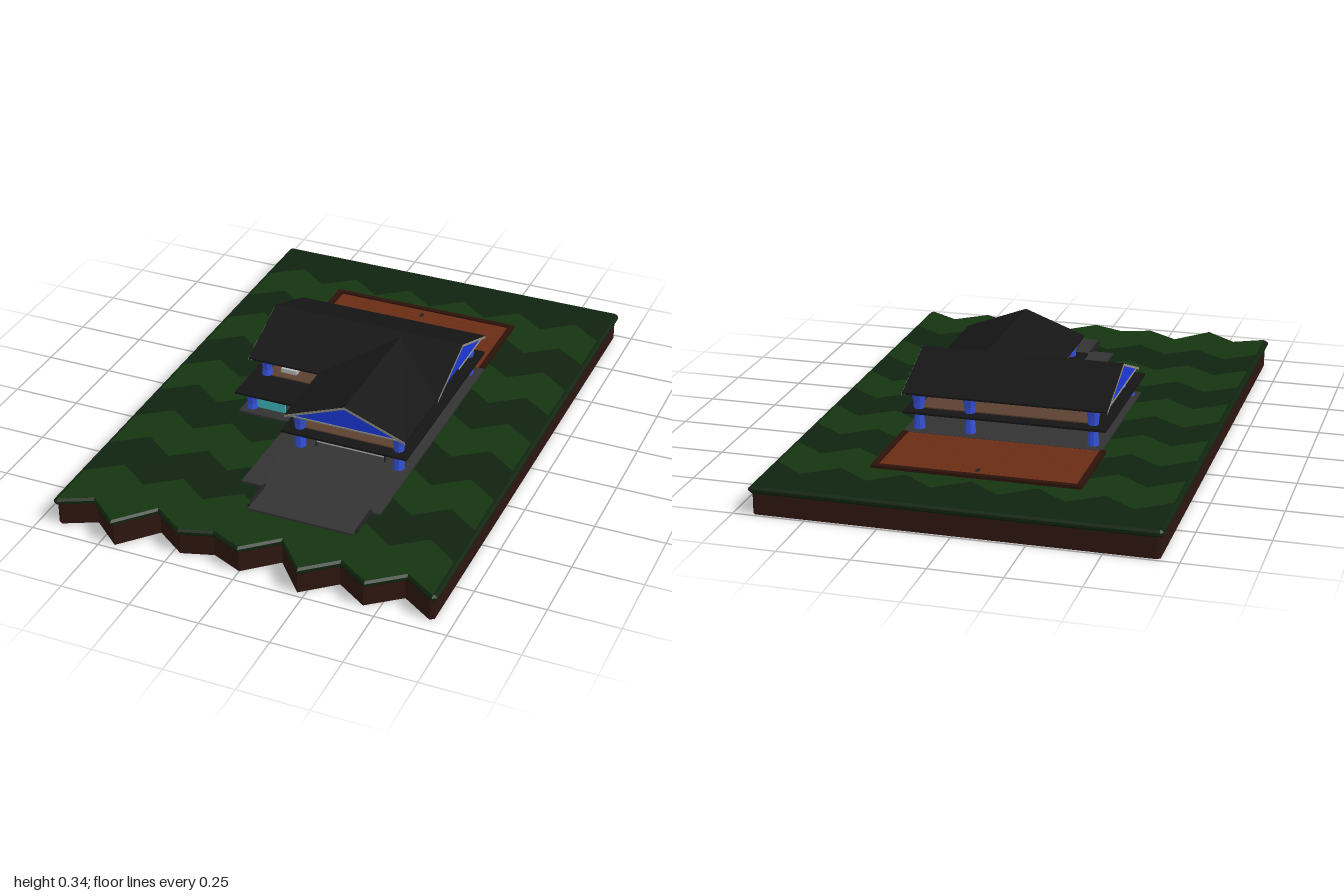
import * as THREE from 'three';

const mat = (color, side = THREE.FrontSide) =>
  new THREE.MeshStandardMaterial({ color, side, flatShading: true });
const M = {
  dirt: mat(0x2e160f), grassDark: mat(0x10240f), grassLight: mat(0x15350f),
  concrete: mat(0x333333), roof: mat(0x151515, THREE.DoubleSide), blue: mat(0x1c38d8, THREE.DoubleSide),
  column: mat(0x3450d8), trim: mat(0x8c8c80), floor: mat(0x5b4030), brick: mat(0x6a2c15),
  brickEdge: mat(0x2c130b), teal: mat(0x3fb8c0), grey: mat(0x999999), pale: mat(0xb8b8b8),
  red: mat(0xd02418), rug: mat(0x1c3f90), dark: mat(0x222222),
};

export function createModel() {
  const model = new THREE.Group();

  const add = (name, geo, material, x = 0, y = 0, z = 0, parent = model) => {
    const m = new THREE.Mesh(geo, material);
    m.name = name;
    m.position.set(x, y, z);
    parent.add(m);
    return m;
  };
  // Box given by its limits on each axis
  const box = (name, material, x0, x1, y0, y1, z0, z1, parent = model) =>
    add(name, new THREE.BoxGeometry(x1 - x0, y1 - y0, z1 - z0), material,
      (x0 + x1) / 2, (y0 + y1) / 2, (z0 + z1) / 2, parent);
  // Plan outline of [x, z] points
  const plan = (pts) => new THREE.Shape(pts.map(([x, z]) => new THREE.Vector2(x, -z)));
  // Plan outline raised between two heights
  const slab = (name, material, pts, y0, y1, bevel = 0) => {
    const geo = new THREE.ExtrudeGeometry(plan(pts), {
      depth: y1 - y0 - 2 * bevel, bevelEnabled: bevel > 0, bevelThickness: bevel,
      bevelSize: bevel, bevelOffset: -bevel, bevelSegments: 1,
    });
    geo.rotateX(-Math.PI / 2);
    return add(name, geo, material, 0, y0 + bevel, 0);
  };

  // Ground with a jagged front edge
  const frontZ = [0.95, 0.895, 0.99, 0.865, 0.945, 0.91, 0.96, 0.86, 0.99, 0.895, 0.97, 0.88, 0.955];
  const edge = frontZ.map((z, i) => [-0.68 + i * 0.1133, z]);
  const outline = [[-0.695, -0.99], [-0.685, -1], [0.685, -1], [0.695, -0.99],
    [0.695, 0.945], ...edge.slice().reverse(), [-0.695, 0.94]];
  slab('dirtBase', M.dirt, outline.map(([x, z]) => [x * 0.985, z * 0.99]), 0, 0.08);
  slab('grass', M.grassDark, outline, 0.075, 0.1, 0.008);

  // Light zigzag stripes on the lawn
  const zigzag = (z) => edge.map(([x], i) => [x, z + (i % 2 ? 0 : 0.085)]);
  for (let k = 0; k < 5; k++) {
    const z = -0.85 + k * 0.38;
    const near = k < 4 ? zigzag(z + 0.19) : edge.map(([x, ez]) => [x, ez - 0.008]);
    const geo = new THREE.ShapeGeometry(plan([...zigzag(z), ...near.reverse()]));
    geo.rotateX(-Math.PI / 2);
    add('grassStripe', geo, M.grassLight, 0, 0.101, 0);
  }

  // Foundation and driveway
  slab('foundation', M.concrete, [[-0.35, -0.4], [0.36, -0.4], [0.36, 0.61], [0.32, 0.61],
    [0.32, 0.75], [-0.06, 0.75], [-0.06, 0.61], [-0.15, 0.61], [-0.15, 0.21], [-0.35, 0.21]], 0.095, 0.108);
  for (const x of [-0.065, 0.325]) box('driveKerb', M.dark, x - 0.005, x + 0.005, 0.1, 0.11, 0.6, 0.73);

  // Brick patio
  box('patioBed', M.brickEdge, -0.345, 0.345, 0.095, 0.105, -0.72, -0.4);
  for (const x of [-0.357, 0.35]) box('patioBorder', M.brickEdge, x - 0.01, x + 0.01, 0.095, 0.112, -0.735, -0.4);
  box('patioBorder', M.brickEdge, -0.367, 0.36, 0.095, 0.112, -0.738, -0.718);
  const patio = new THREE.Group();
  patio.name = 'patioBricks';
  model.add(patio);
  const bw = 0.0565, bd = 0.0315;
  for (let r = 0; r < 10; r++) for (let c = 0; c < 12; c++) {
    const x = -0.343 + c * 0.057, z = -0.717 + r * 0.032;
    box('brick', M.brick, x, x + bw, 0.1, 0.107, z, z + bd, patio);
  }
  box('patioDrain', M.dark, -0.003, 0.009, 0.1, 0.11, -0.69, -0.67);

  // Skirt roof between the storeys, with the upper floor inside it
  slab('skirtRoof', M.roof, [[-0.365, -0.4], [0.36, -0.4], [0.36, 0.375], [-0.11, 0.375],
    [-0.11, 0.21], [-0.365, 0.21]], 0.174, 0.182);
  slab('upperFloor', M.floor, [[-0.31, -0.35], [0.315, -0.35], [0.315, 0.33], [-0.055, 0.33],
    [-0.055, 0.06], [-0.31, 0.06]], 0.178, 0.186);

  // Flared columns
  const column = (x, z, y0, y1) => {
    const h = y1 - y0;
    const profile = [[0, 0], [0.021, 0], [0.017, h * 0.35], [0.02, h * 0.7], [0.028, h], [0, h]]
      .map(([r, y]) => new THREE.Vector2(r, y));
    add('column', new THREE.LatheGeometry(profile, 8, Math.PI / 8), M.column, x, y0, z);
  };
  for (const [x, z] of [[-0.055, 0.33], [0.315, 0.33], [-0.31, -0.35], [0.13, -0.35], [0.315, -0.35]])
    column(x, z, 0.105, 0.248);
  column(-0.31, 0.05, 0.182, 0.248);
  column(-0.315, 0.17, 0.105, 0.176);

  // Gable roof running along z before it is turned: chevron, end walls, rake trim
  const gableRoof = (name, half, eave, ridge, z0, z1, ends) => {
    const g = new THREE.Group();
    g.name = name;
    model.add(g);
    const t = 0.007, len = z1 - z0;
    const chevron = (d) => new THREE.Shape([[-half, eave], [0, ridge], [half, eave],
      [half, eave - d], [0, ridge - d], [-half, eave - d]].reverse().map((p) => new THREE.Vector2(...p)));
    const extrude = (s, depth) => new THREE.ExtrudeGeometry(s, { depth, bevelEnabled: false });
    add('roofSlopes', extrude(chevron(t), len), M.roof, 0, 0, z0, g);
    const wall = new THREE.Shape([[-half + 0.01, eave - 0.003], [half - 0.01, eave - 0.003], [0, ridge - t]]
      .map((p) => new THREE.Vector2(...p)));
    for (const [z, dir] of ends) {
      add('gableWall', extrude(wall, 0.004), M.blue, 0, 0, z - dir * 0.012 - 0.002, g);
      add('rakeTrim', extrude(chevron(t + 0.002), 0.002), M.trim, 0, -0.001, z - 0.001, g);
      box('gableSill', M.trim, -half, half, eave - 0.008, eave - 0.003, z - dir * 0.01 - 0.003, z - dir * 0.01 + 0.003, g);
    }
    return g;
  };
  const mainRoof = gableRoof('mainRoof', 0.24, 0.25, 0.344, -0.37, 0.36, [[-0.37, -1], [0.36, 1]]);
  mainRoof.rotation.y = Math.PI / 2;
  mainRoof.position.z = -0.16;
  const frontRoof = gableRoof('frontRoof', 0.225, 0.25, 0.335, -0.14, 0.375, [[0.375, 1]]);
  frontRoof.position.x = 0.13;

  // Garage door with its frame
  box('garageDoor', M.pale, 0, 0.255, 0.125, 0.17, 0.31, 0.315);
  box('garageLintel', M.dark, -0.003, 0.258, 0.168, 0.176, 0.308, 0.318);
  for (const x of [-0.002, 0.257]) box('garagePost', M.dark, x - 0.002, x + 0.002, 0.105, 0.176, 0.308, 0.318);

  // Glass front of the left wing and its entrance wall
  box('glassWall', M.teal, -0.31, -0.19, 0.108, 0.172, 0.155, 0.165);
  box('glassFrame', M.pale, -0.31, -0.19, 0.168, 0.175, 0.152, 0.172);
  box('entranceWall', M.grey, -0.195, -0.125, 0.108, 0.175, -0.09, -0.02);
  box('redDoor', M.red, -0.195, -0.125, 0.108, 0.175, -0.105, -0.09);

  // Stairs to the upper floor
  for (let i = 0; i < 6; i++) {
    const y = 0.12 + i * 0.0125, z = 0.06 - i * 0.014;
    box('stairStep', M.grey, -0.19, -0.12, y - 0.0125, y, z - 0.014, z);
  }
  box('stairGuard', M.grey, -0.122, -0.117, 0.186, 0.205, -0.02, 0.05);

  // Furnishings: upper table and floor rugs
  box('table', M.pale, -0.265, -0.205, 0.186, 0.202, -0.03, 0.03);
  box('lowerRug', M.rug, -0.3, -0.2, 0.107, 0.111, -0.1, 0.1);
  box('upperRug', M.rug, 0.2, 0.3, 0.185, 0.188, -0.22, -0.06);

  return model;
}
